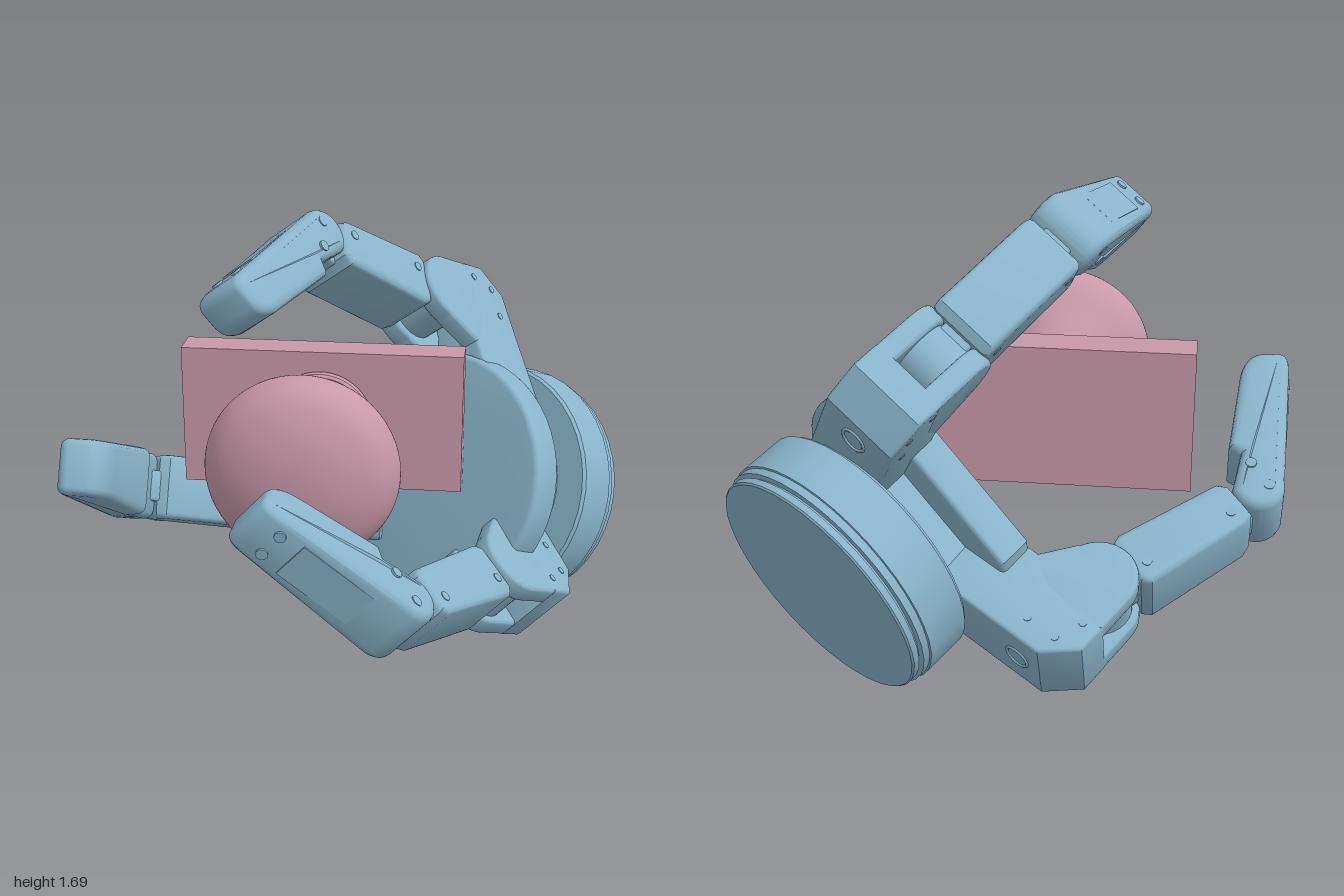
import * as THREE from 'three';
import { toCreasedNormals } from 'three/addons/utils/BufferGeometryUtils.js';

const V = (x, y, z) => new THREE.Vector3(x, y, z);
const blue = new THREE.MeshStandardMaterial({ color: 0x8ab4cb });
const pink = new THREE.MeshStandardMaterial({ color: 0xc898a8 });

// Hand axis: from the back of the base towards the palm
const axis = V(-0.57, 0.35, 0.743).normalize();
const baseCentre = V(0.63, 0.44, -0.665);

function add(parent, name, geometry, material = blue) {
  const mesh = new THREE.Mesh(geometry, material);
  mesh.name = name;
  parent.add(mesh);
  return mesh;
}

// Group whose local x and y follow two given directions
function frame(name, origin, x, y) {
  const g = new THREE.Group();
  g.name = name;
  const z = x.clone().cross(y);
  g.quaternion.setFromRotationMatrix(new THREE.Matrix4().makeBasis(x, y, z));
  g.position.copy(origin);
  return g;
}

// Side profile extruded to a given width, centred on z, with softened edges
function slab(shape, width, bevel = 0.02) {
  const geo = new THREE.ExtrudeGeometry(shape, {
    depth: width - 2 * bevel, bevelThickness: bevel, bevelSize: bevel,
    bevelOffset: -bevel, bevelSegments: 3, curveSegments: 20,
  });
  geo.translate(0, 0, -width / 2 + bevel);
  return toCreasedNormals(geo, 0.6);
}

function polygon(points) {
  return new THREE.Shape(points.map(([x, y]) => new THREE.Vector2(x, y)));
}

// Disc with one flat side at x = -cut
function cutDisc(radius, cut) {
  const half = Math.PI - Math.acos(cut / radius);
  return new THREE.Shape().absarc(0, 0, radius, -half, half, false);
}

function lathe(points, segments) {
  const geo = new THREE.LatheGeometry(points.map(([r, h]) => new THREE.Vector2(r, h)), segments);
  return toCreasedNormals(geo, 0.5);
}

// Pin lying along the hinge direction (local z)
function pin(parent, name, radius, width, x = 0, y = 0) {
  const geo = new THREE.CylinderGeometry(radius, radius, width, 28).rotateX(Math.PI / 2);
  const mesh = add(parent, name, geo);
  mesh.position.set(x, y, 0);
  return mesh;
}

function buildFinger(name, knuckle, middle, tip) {
  const finger = new THREE.Group();
  finger.name = name;
  const d1 = middle.clone().sub(knuckle);
  const d2 = tip.clone().sub(middle);
  const len1 = d1.length(), len2 = d2.length() + 0.02;
  d1.normalize();
  d2.normalize();
  const hinge = d1.clone().cross(d2).normalize();

  // Root: arm from the hub, bending forward into a forked knuckle
  const forward = axis.clone().addScaledVector(hinge, -axis.dot(hinge)).normalize();
  const outward = forward.clone().cross(hinge);
  const root = frame('fingerRoot', knuckle, forward, outward);
  finger.add(root);
  const cheek = polygon([[-0.2, -0.3], [-0.06, -0.3], [-0.06, -0.22], [0.06, -0.13]]);
  cheek.absarc(0, 0, 0.14, -1.1, Math.PI / 2, false);
  cheek.lineTo(-0.2, 0.14);
  for (const s of [-1, 1]) add(root, 'knuckleCheek', slab(cheek, 0.08, 0.015)).position.z = s * 0.105;
  add(root, 'rootArm', slab(polygon([[-0.36, -0.48], [-0.06, -0.48], [-0.06, -0.22],
    [-0.13, -0.1], [-0.15, 0.141], [-0.26, 0.141], [-0.36, 0.03]]), 0.292, 0.015));
  pin(root, 'knuckleBarrel', 0.115, 0.14);
  for (const [x, y] of [[-0.28, 0.04], [-0.18, 0.08], [-0.28, -0.08]]) pin(root, 'rootScrew', 0.014, 0.298, x, y);
  const port = add(root, 'rearPort', new THREE.TorusGeometry(0.045, 0.006, 8, 24).rotateY(Math.PI / 2));
  port.position.set(-0.36, -0.07, 0);

  // Middle link: tapered body with a tongue reaching both joints
  const link = frame('middleLink', knuckle, d1, hinge.clone().cross(d1));
  finger.add(link);
  const a = len1 * 0.17, b = len1 * 0.87;
  add(link, 'linkBody', slab(polygon([[a, -0.09], [a + 0.03, -0.115], [b - 0.04, -0.1], [b, -0.08],
    [b, 0.06], [b - 0.03, 0.09], [a + 0.04, 0.11], [a, 0.09]]), 0.25, 0.025));
  add(link, 'linkTongue', slab(polygon([[0, -0.07], [len1, -0.065], [len1, 0.065], [0, 0.07]]), 0.12, 0.01));
  for (const x of [a + 0.06, b - 0.06]) pin(link, 'linkScrew', 0.018, 0.256, x, -0.04);

  // Fingertip: rounded heel, tapering to a blunt end
  const end = frame('fingertip', middle, d2, hinge.clone().cross(d2));
  finger.add(end);
  const side = new THREE.Shape();
  side.absarc(0, 0, 0.095, Math.PI * 0.6, Math.PI * 1.5, false);
  side.lineTo(len2 - 0.06, -0.085);
  side.quadraticCurveTo(len2, -0.08, len2, -0.04);
  side.lineTo(len2 - 0.01, 0.03);
  side.quadraticCurveTo(len2 - 0.03, 0.085, len2 - 0.12, 0.095);
  side.lineTo(0.16, 0.115);
  side.lineTo(0.14, 0.07);
  const tipGeo = slab(side, 0.26, 0.035);
  const p = tipGeo.attributes.position;
  for (let i = 0; i < p.count; i++) {
    p.setZ(i, p.getZ(i) * (1 - 0.22 * THREE.MathUtils.smoothstep(p.getX(i), 0.1, len2)));
  }
  add(end, 'tipBody', toCreasedNormals(tipGeo, 0.6));
  for (const x of [0.0, 0.09]) pin(end, 'tipSideScrew', 0.02, 0.264, x, x ? 0.03 : -0.04);
  // Back cover with its screws
  const cover = add(end, 'backCover', new THREE.BoxGeometry(len2 * 0.48, 0.012, 0.14));
  cover.position.set(len2 * 0.45, -0.087, 0);
  for (const s of [-1, 1]) {
    const screw = add(end, 'coverScrew', new THREE.CylinderGeometry(0.02, 0.02, 0.014, 14));
    screw.position.set(len2 * 0.82, -0.086, s * 0.045);
  }
  return finger;
}

export function createModel() {
  const model = new THREE.Group();
  model.name = 'gripperWithKnob';

  // Stepped round base turned around the hand axis
  const base = add(model, 'base', lathe([[0, 0], [0.452, 0], [0.458, 0.006], [0.458, 0.03], [0.447, 0.032],
    [0.447, 0.04], [0.468, 0.042], [0.468, 0.07], [0.475, 0.072], [0.475, 0.24], [0.465, 0.252], [0, 0.252]], 40));
  base.position.copy(baseCentre);
  base.quaternion.setFromUnitVectors(V(0, 1, 0), axis);

  // Hub and palm, both with a flat side between the upper and side fingers
  const toLower = V(0.5, -0.58, 0.64);
  toLower.addScaledVector(axis, -axis.dot(toLower)).normalize();
  const body = frame('handBody', baseCentre, toLower, axis.clone().cross(toLower));
  model.add(body);
  add(body, 'hub', slab(cutDisc(0.35, 0.2), 0.24, 0.005)).position.z = 0.35;
  add(body, 'palm', slab(cutDisc(0.48, 0.34), 0.14, 0.02)).position.z = 0.51;

  // Three fingers: knuckle, middle joint, tip
  model.add(buildFinger('upperFinger', V(0.23, 1.24, -0.53), V(-0.18, 1.565, -0.09), V(-0.34, 1.495, 0.49)));
  model.add(buildFinger('sideFinger', V(-0.34, 0.38, -0.51), V(-0.88, 0.585, -0.14), V(-0.91, 0.88, 0.41)));
  model.add(buildFinger('lowerFinger', V(0.53, 0.37, 0.11), V(0.225, 0.56, 0.79), V(-0.21, 0.95, 0.89)));

  // Door knob with neck and rosette, facing the front
  const profile = new THREE.SplineCurve([[0.105, 0.03], [0.105, 0.12], [0.12, 0.165], [0.165, 0.215],
    [0.235, 0.28], [0.305, 0.345], [0.336, 0.4], [0.336, 0.45], [0.29, 0.52], [0.2, 0.567], [0.1, 0.592],
    [0, 0.598]].map(([r, z]) => new THREE.Vector2(r, z))).getPoints(44).map((q) => [Math.max(q.x, 0), q.y]);
  const knob = add(model, 'knob', lathe([[0.17, -0.06], [0.17, -0.05], [0.195, -0.05], [0.195, -0.02],
    [0.185, -0.012], [0.165, -0.012], [0.165, -0.002], [0.135, 0.002], [0.115, 0.012], ...profile], 56), pink);
  knob.rotation.x = Math.PI / 2;
  knob.position.set(-0.117, 0.914, 0);

  // Flat panel behind the knob
  const panel = add(model, 'panel', new THREE.BoxGeometry(1.05, 0.53, 0.135), pink);
  panel.position.set(-0.115, 0.915, -0.128);
  return model;
}
